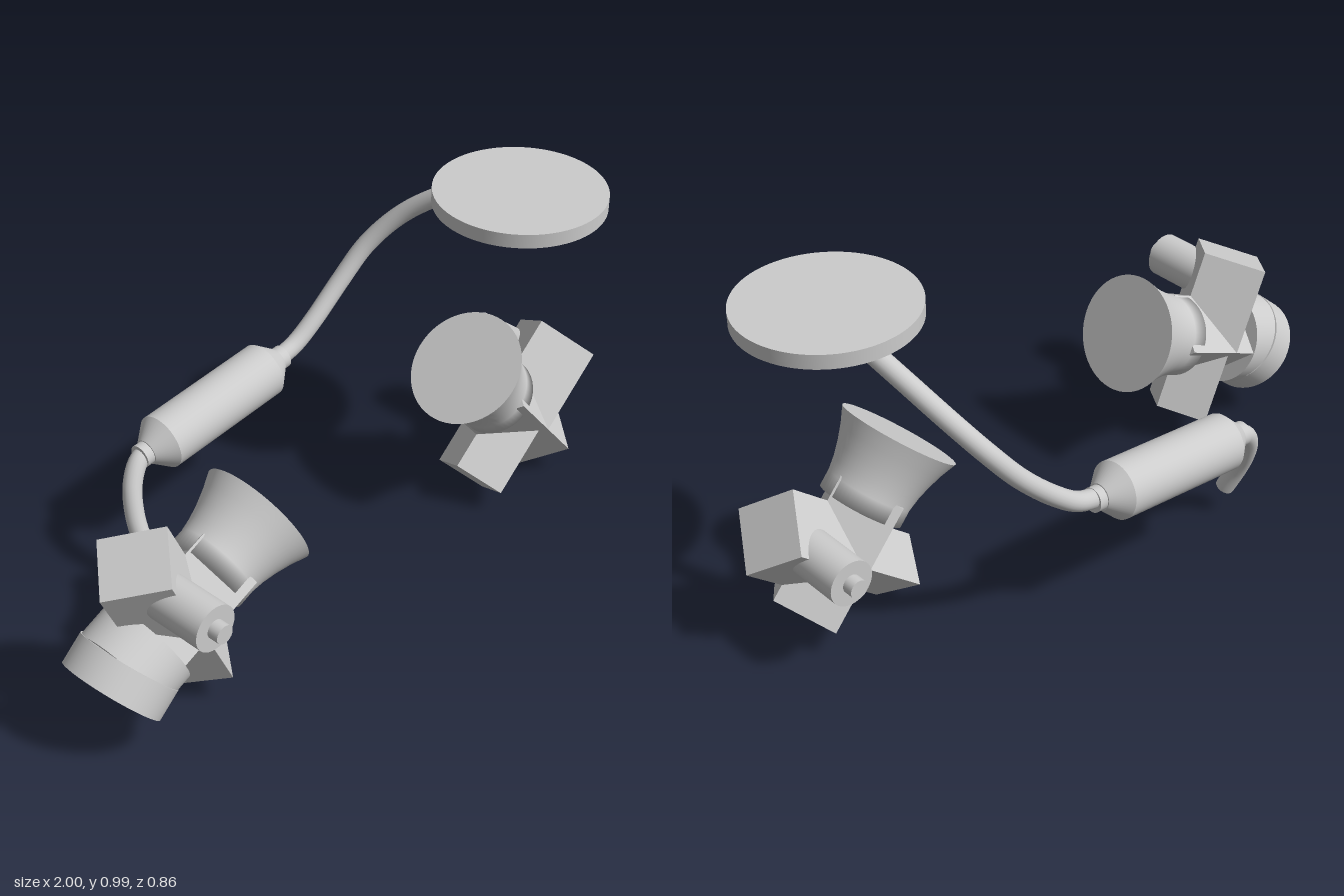
import * as THREE from 'three';

const grey = new THREE.MeshStandardMaterial({ color: 0xcccccc });
grey.name = 'light grey';

const v = (x, y, z = 0) => new THREE.Vector3(x, y, z);

function add(group, name, geometry) {
  const mesh = new THREE.Mesh(geometry, grey);
  mesh.name = name;
  group.add(mesh);
  return mesh;
}

// Round bar between two points
function rod(group, name, a, b, radius, segments = 40) {
  const dir = b.clone().sub(a);
  const mesh = add(group, name, new THREE.CylinderGeometry(radius, radius, dir.length(), segments));
  mesh.position.copy(a).add(b).multiplyScalar(0.5);
  mesh.quaternion.setFromUnitVectors(v(0, 1, 0), dir.normalize());
  return mesh;
}

// Four-sided prism standing on a corner; runs along y, corners on x and z
function prism(halfX, halfZ, length) {
  const g = new THREE.CylinderGeometry(1, 1, length, 4).toNonIndexed();
  g.scale(halfX, 1, halfZ);
  g.computeVertexNormals();
  return g;
}

// Bent pipe with closed ends
function pipe(group, name, points) {
  const radius = 0.028;
  const curve = new THREE.CatmullRomCurve3(points.map((p) => v(...p)));
  add(group, name, new THREE.TubeGeometry(curve, 64, radius, 20));
  [0, 1].forEach((t) => {
    const cap = add(group, name + 'End', new THREE.CircleGeometry(radius, 20));
    cap.position.copy(curve.getPoint(t));
    cap.quaternion.setFromUnitVectors(v(0, 0, 1), curve.getTangent(t).multiplyScalar(t ? 1 : -1));
  });
}

// Valve head: local x runs out through the horn, whose mouth is at the origin
function valveHead(name, origin, angle, flipped, bodyEnd) {
  const head = new THREE.Group();
  head.name = name;

  // Flared horn with a flat mouth
  const profile = [[0, -0.22], [0.122, -0.22], [0.122, -0.17], [0.128, -0.13],
    [0.138, -0.09], [0.153, -0.045], [0.172, 0]].map(([r, y]) => new THREE.Vector2(r, y));
  add(head, 'horn', new THREE.LatheGeometry(profile, 56)).rotation.z = -Math.PI / 2;
  const mouth = add(head, 'hornMouth', new THREE.CircleGeometry(0.172, 56));
  mouth.rotation.y = Math.PI / 2;

  // Body, with a large arm above and a small one below
  const body = add(head, 'body', prism(0.126, 0.139, bodyEnd - 0.16));
  body.rotation.z = -Math.PI / 2;
  body.position.x = -(bodyEnd + 0.16) / 2;
  add(head, 'largeArm', prism(0.128, 0.139, 0.263)).position.set(-0.362, 0.1315, 0);
  add(head, 'smallArm', prism(0.097, 0.12, 0.236)).position.set(-0.35, -0.118, 0);

  // Side knob
  rod(head, 'knob', v(-0.362, 0.168, 0), v(-0.362, 0.168, 0.247), 0.066);
  rod(head, 'knobTip', v(-0.362, 0.168, 0.24), v(-0.362, 0.168, 0.28), 0.027, 24);

  const across = v(-Math.sin(angle), Math.cos(angle)).multiplyScalar(flipped ? -1 : 1);
  const basis = new THREE.Matrix4().makeBasis(
    v(Math.cos(angle), Math.sin(angle)), across, v(0, 0, flipped ? -1 : 1));
  head.quaternion.setFromRotationMatrix(basis);
  head.position.copy(origin);
  return head;
}

export function createModel() {
  const model = new THREE.Group();
  model.name = 'pipeAndValves';

  // Round mounting plate with a ring of studs beneath
  const plate = new THREE.Group();
  plate.name = 'mountingPlate';
  plate.position.set(0.684, 0, 0.148);
  add(plate, 'disc', new THREE.CylinderGeometry(0.247, 0.247, 0.042, 72)).position.y = 0.979;
  for (let i = 0; i < 6; i++) {
    const a = (i * Math.PI) / 3;
    add(plate, 'stud', new THREE.CylinderGeometry(0.017, 0.017, 0.02, 20))
      .position.set(0.207 * Math.cos(a), 0.953, 0.207 * Math.sin(a));
  }
  model.add(plate);

  // Pipe running from the plate to the canister, and the short tail pipe
  pipe(model, 'mainPipe', [
    [0.69, 0.945, -0.015], [0.655, 0.875, -0.135], [0.61, 0.796, -0.23], [0.545, 0.7, -0.298],
    [0.465, 0.6, -0.327], [0.36, 0.5, -0.34], [0.285, 0.448, -0.346], [0.2, 0.426, -0.348]]);
  pipe(model, 'tailPipe', [
    [-0.3, 0.376, -0.348], [-0.345, 0.362, -0.346], [-0.388, 0.31, -0.328],
    [-0.412, 0.235, -0.298], [-0.417, 0.165, -0.266], [-0.406, 0.09, -0.232]]);

  // Canister: a drum with tapered ends and a collar at each end
  const canister = new THREE.Group();
  canister.name = 'canister';
  canister.position.set(-0.05, 0.4, -0.348);
  canister.rotation.z = -Math.PI / 2 + 0.1;
  add(canister, 'drum', new THREE.CylinderGeometry(0.083, 0.083, 0.415, 48));
  [1, -1].forEach((s) => {
    const taper = add(canister, 'taper', new THREE.CylinderGeometry(0.038, 0.083, 0.056, 48));
    taper.position.y = s * 0.2355;
    if (s < 0) taper.rotation.z = Math.PI;
    add(canister, 'collar', new THREE.CylinderGeometry(0.035, 0.035, 0.03, 32)).position.y = s * 0.274;
  });
  model.add(canister);

  // Valve heads; the one on the right carries a tilted round end cap
  const rightHead = valveHead('rightValve', v(-0.366, 0.457, 0.148), 0.419, false, 0.46);
  rod(rightHead, 'endSleeve', v(-0.555, 0), v(-0.445, 0), 0.141, 56);
  rod(rightHead, 'endCap', v(-0.602, -0.024), v(-0.516, 0.003), 0.146, 56);
  model.add(rightHead);
  model.add(valveHead('leftValve', v(0.481, 0.5, 0.148), 2.278, true, 0.538));

  return model;
}
